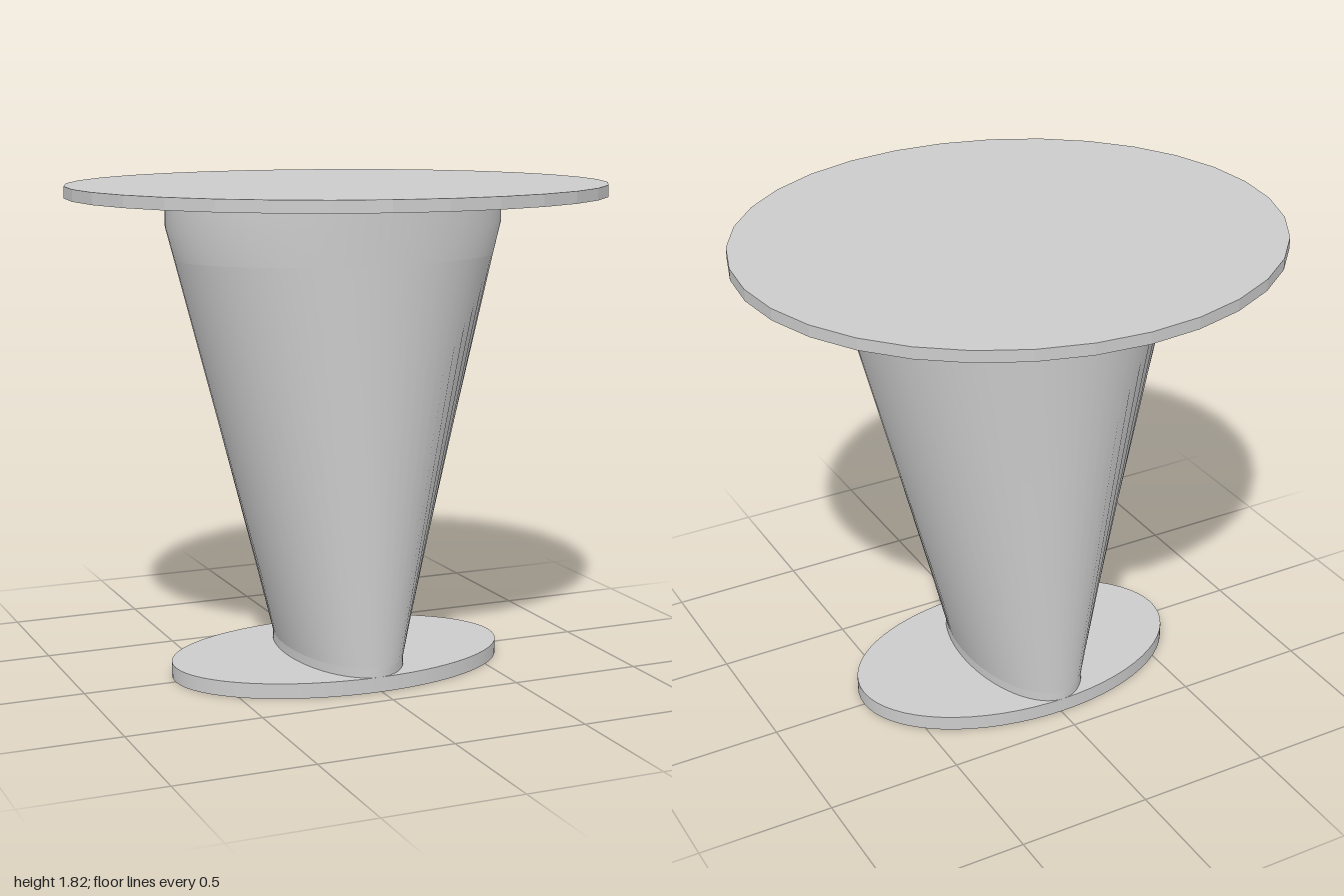
import * as THREE from 'three';

const material = new THREE.MeshStandardMaterial({ color: 0xcccccc });

// Elliptical slab standing between two heights
function slab(name, rx, rz, y0, y1, sides, flat) {
  const geometry = new THREE.CylinderGeometry(1, 1, y1 - y0, sides);
  geometry.scale(rx, 1, rz);
  const mat = flat ? material.clone() : material;
  mat.flatShading = flat;
  const mesh = new THREE.Mesh(geometry, mat);
  mesh.name = name;
  mesh.position.y = (y0 + y1) / 2;
  return mesh;
}

// Pedestal body: constant depth, width changing with height
function pedestalSection(name, rings, rz, sides) {
  const positions = [], index = [];
  for (const [y, rx] of rings) {
    for (let i = 0; i < sides; i++) {
      const a = (i / sides) * Math.PI * 2;
      positions.push(Math.sin(a) * rx, y, Math.cos(a) * rz);
    }
  }
  for (let r = 0; r < rings.length - 1; r++) {
    for (let i = 0; i < sides; i++) {
      const j = (i + 1) % sides;
      const a = r * sides + i, b = r * sides + j;
      index.push(a, b, b + sides, a, b + sides, a + sides);
    }
  }
  const geometry = new THREE.BufferGeometry();
  geometry.setAttribute('position', new THREE.Float32BufferAttribute(positions, 3));
  geometry.setIndex(index);
  geometry.computeVertexNormals();
  const mesh = new THREE.Mesh(geometry, material);
  mesh.name = name;
  return mesh;
}

export function createModel() {
  const group = new THREE.Group();
  group.name = 'pedestalTable';

  // Faceted oval top
  group.add(slab('tableTop', 1, 0.922, 1.773, 1.816, 32, true));

  // Pedestal flaring from a narrow neck to a wide collar
  const pedestal = new THREE.Group();
  pedestal.name = 'pedestal';
  pedestal.position.x = -0.008;
  pedestal.add(
    slab('base', 0.645, 0.403, 0, 0.056, 64, false),
    pedestalSection('neck', [[0.05, 0.208], [0.09, 0.208]], 0.403, 64),
    pedestalSection('taperedColumn', [[0.09, 0.208], [1.55, 0.612]], 0.403, 64),
    pedestalSection('collar', [[1.55, 0.612], [1.67, 0.645], [1.775, 0.645]], 0.403, 64)
  );
  group.add(pedestal);
  return group;
}
